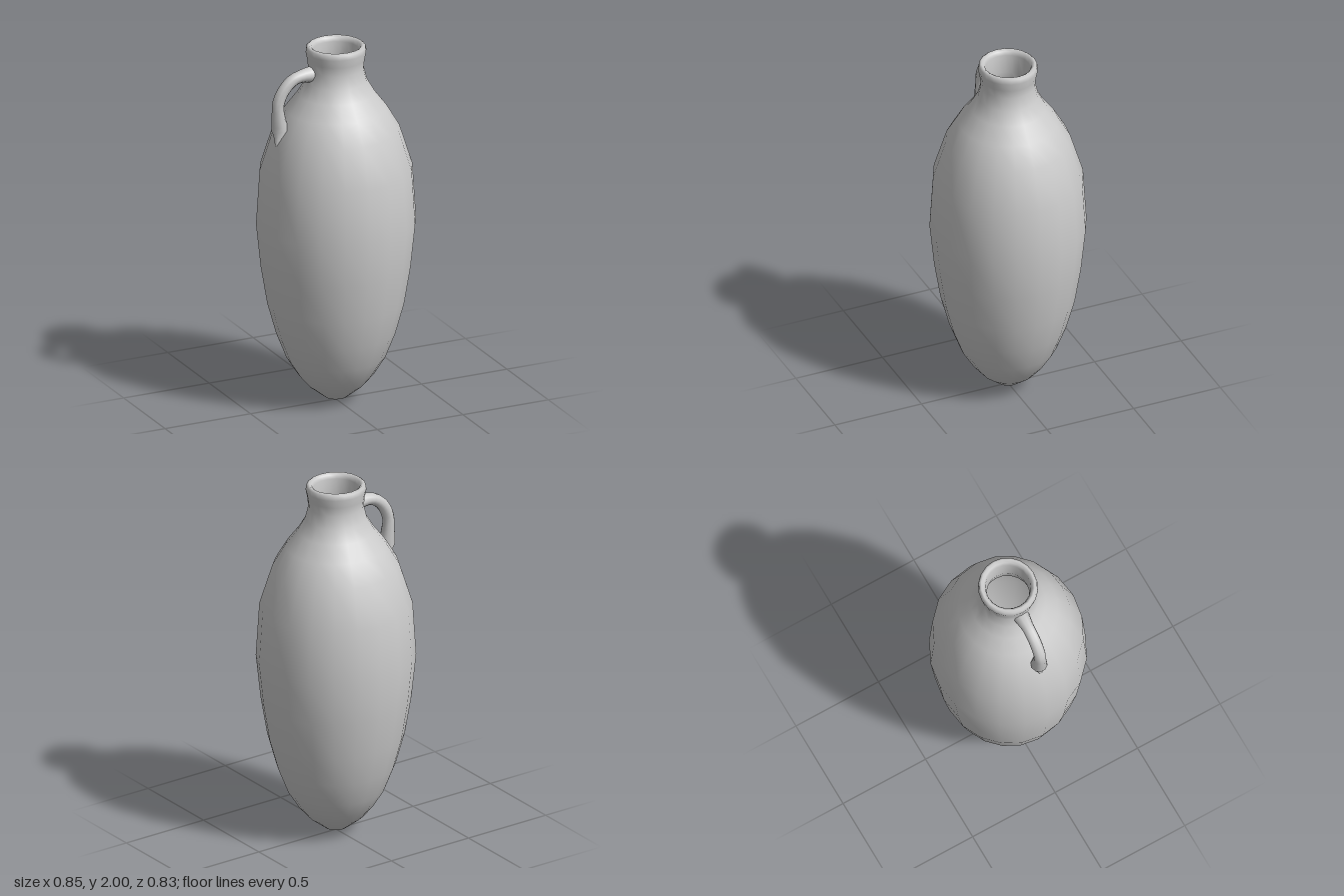
import * as THREE from 'three';

const SIDES = 20;
const DEPTH = 0.97; // the jar is slightly shallower than wide

function lathe(name, points, material) {
  const geometry = new THREE.LatheGeometry(points.map(([r, y]) => new THREE.Vector2(r, y)), SIDES);
  const mesh = new THREE.Mesh(geometry, material);
  mesh.name = name;
  mesh.scale.z = DEPTH;
  return mesh;
}

// Tube along a path whose thickness follows a rule of t
function taperedTube(path, steps, sides, radiusAt) {
  const geometry = new THREE.TubeGeometry(path, steps, 1, sides);
  const pos = geometry.attributes.position;
  const v = new THREE.Vector3();
  for (let i = 0; i <= steps; i++) {
    const centre = path.getPointAt(i / steps);
    const r = radiusAt(i / steps);
    for (let j = 0; j <= sides; j++) {
      const k = i * (sides + 1) + j;
      v.fromBufferAttribute(pos, k).sub(centre).multiplyScalar(r).add(centre);
      pos.setXYZ(k, v.x, v.y, v.z);
    }
  }
  return geometry;
}

export function createModel() {
  const group = new THREE.Group();
  group.name = 'jar';
  const clay = new THREE.MeshStandardMaterial({ color: 0xcccccc });

  // Outer wall, rounded lip and hollow inside in one profile
  group.add(lathe('body', [
    [0, 0], [0.06, 0.02], [0.15, 0.09], [0.205, 0.155], [0.265, 0.25], [0.32, 0.39], [0.367, 0.56],
    [0.402, 0.77], [0.427, 1.01], [0.408, 1.31], [0.338, 1.53], [0.27, 1.645], [0.205, 1.73],
    [0.165, 1.8], [0.148, 1.87], [0.153, 1.92], [0.162, 1.965], [0.158, 1.99], [0.145, 2],
    [0.13, 1.99], [0.122, 1.97], [0.115, 1.87], [0.13, 1.79], [0.17, 1.71], [0.3, 1.51],
    [0.368, 1.3], [0.385, 1.01], [0.36, 0.77], [0.325, 0.56], [0.27, 0.39], [0.18, 0.22],
    [0.09, 0.11], [0, 0.06],
  ], clay));

  // Single loop handle from the neck down to the shoulder
  const path = new THREE.CatmullRomCurve3([
    [-0.135, 1.855], [-0.19, 1.855], [-0.25, 1.84], [-0.305, 1.79], [-0.337, 1.72],
    [-0.337, 1.64], [-0.33, 1.56], [-0.348, 1.47],
  ].map(([x, y]) => new THREE.Vector3(x, y, 0)));
  const radiusAt = (t) => {
    if (t < 0.15) return 0.033 + 0.012 * (1 - t / 0.15);
    if (t < 0.6) return 0.033;
    if (t < 0.8) return 0.033 + 0.012 * (t - 0.6) / 0.2;
    return 0.045 - 0.04 * (t - 0.8) / 0.2;
  };
  const handle = new THREE.Mesh(taperedTube(path, 20, 10, radiusAt), clay);
  handle.name = 'handle';
  group.add(handle);

  return group;
}
